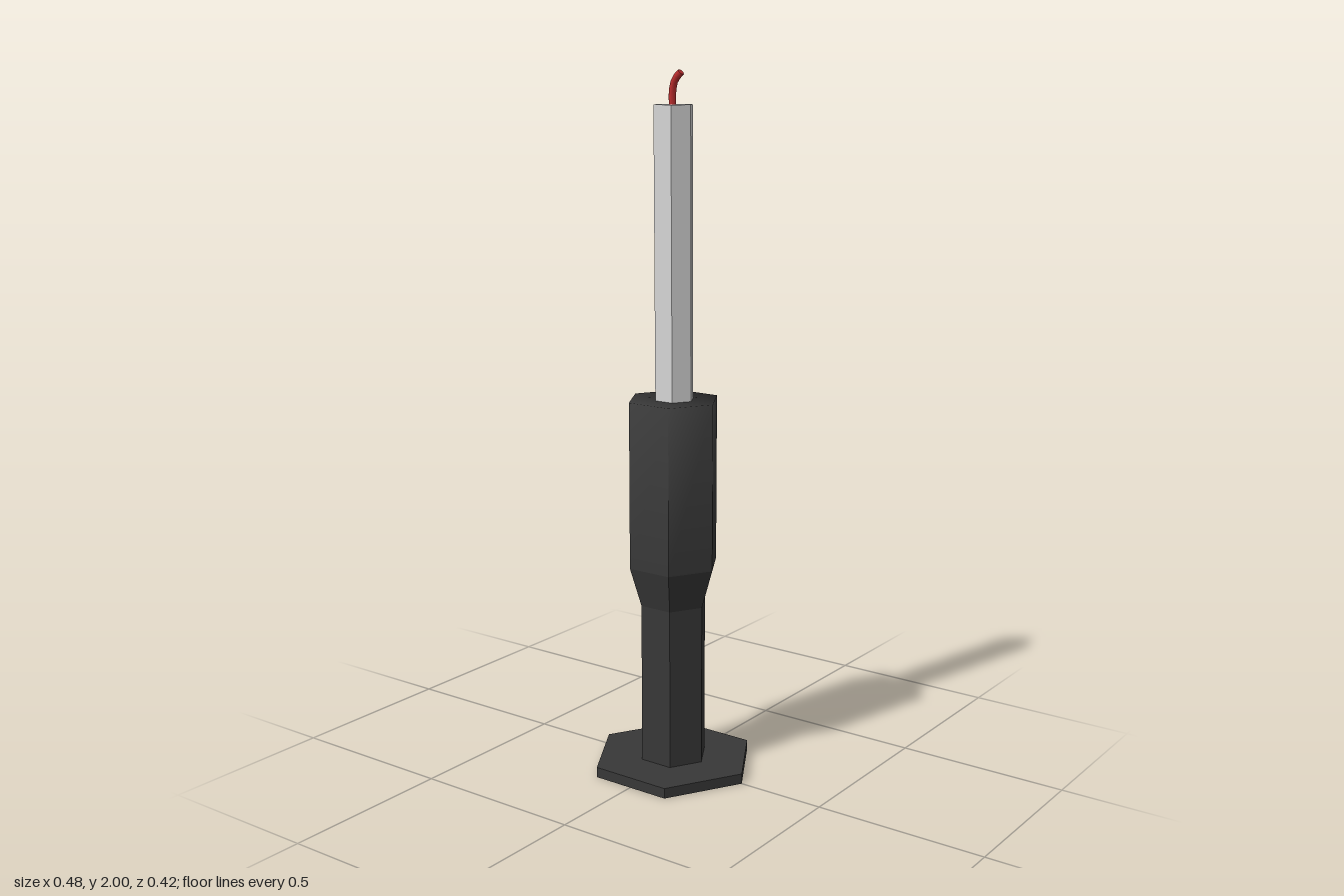
import * as THREE from 'three';

const holderMat = new THREE.MeshStandardMaterial({ color: 0x383838 });
holderMat.name = 'charcoal';
const waxMat = new THREE.MeshStandardMaterial({ color: 0xd6d6d6 });
waxMat.name = 'pale wax';
const wickMat = new THREE.MeshStandardMaterial({ color: 0xbc2e2e });
wickMat.name = 'red wick';

// Six-sided prism with corners on the x axis and faceted normals
function hexPrism(rTop, rBottom, y0, y1, open = false) {
  const g = new THREE.CylinderGeometry(rTop, rBottom, y1 - y0, 6, 1, open, Math.PI / 6)
    .translate(0, (y0 + y1) / 2, 0).toNonIndexed();
  g.computeVertexNormals();
  return g;
}

// Blend the shading around the rim, so walls and top run into each other
function softenRim(g, rimY) {
  const p = g.attributes.position, n = g.attributes.normal;
  const v = new THREE.Vector3();
  for (let i = 0; i < p.count; i++) {
    if (Math.abs(p.getY(i) - rimY) > 1e-4) continue;
    v.set(p.getX(i), 0, p.getZ(i)).setLength(0.79).setY(0.61).normalize();
    n.setXYZ(i, v.x, v.y, v.z);
  }
  return g;
}

export function createModel() {
  const model = new THREE.Group();
  model.name = 'candleInHolder';
  const add = (name, geometry, material, parent = model) => {
    const mesh = new THREE.Mesh(geometry, material);
    mesh.name = name;
    parent.add(mesh);
    return mesh;
  };

  // Holder: foot plate, shaft, flare and cup
  const rim = 1.095, cupR = 0.135;
  add('footPlate', hexPrism(0.242, 0.242, 0, 0.03), holderMat);
  add('shaft', hexPrism(0.1, 0.1, 0.03, 0.5, true), holderMat);
  add('flare', hexPrism(cupR, 0.1, 0.5, 0.615, true), holderMat);
  add('cupWall', softenRim(hexPrism(cupR, cupR, 0.615, rim, true), rim), holderMat);
  const corners = Array.from({ length: 6 }, (_, i) =>
    new THREE.Vector2(Math.cos(i * Math.PI / 3), Math.sin(i * Math.PI / 3)).multiplyScalar(cupR));
  const top = new THREE.ShapeGeometry(new THREE.Shape(corners))
    .rotateX(-Math.PI / 2).translate(0, rim, 0);
  add('cupTop', softenRim(top, rim), holderMat);

  // Candle, leaning very slightly towards -x
  const candleTop = 1.905;
  const candle = hexPrism(0.058, 0.058, rim - 0.02, candleTop);
  const p = candle.attributes.position;
  for (let i = 0; i < p.count; i++) {
    p.setX(i, p.getX(i) + (p.getY(i) < 1.5 ? 0.003 : -0.001));
  }
  candle.computeVertexNormals();
  add('candle', candle, waxMat);

  // Curled wick with a closed tip
  const path = new THREE.CatmullRomCurve3([
    [-0.003, candleTop - 0.01], [-0.003, 1.942], [0.005, 1.971], [0.025, 1.991],
  ].map(([x, y]) => new THREE.Vector3(x, y, 0)));
  const wick = new THREE.Group();
  wick.name = 'wick';
  model.add(wick);
  add('wickStem', new THREE.TubeGeometry(path, 6, 0.01, 6), wickMat, wick);
  const tip = add('wickTip', new THREE.CircleGeometry(0.01, 6), wickMat, wick);
  tip.position.copy(path.getPoint(1));
  tip.lookAt(path.getPoint(1).add(path.getTangent(1)));

  return model;
}
